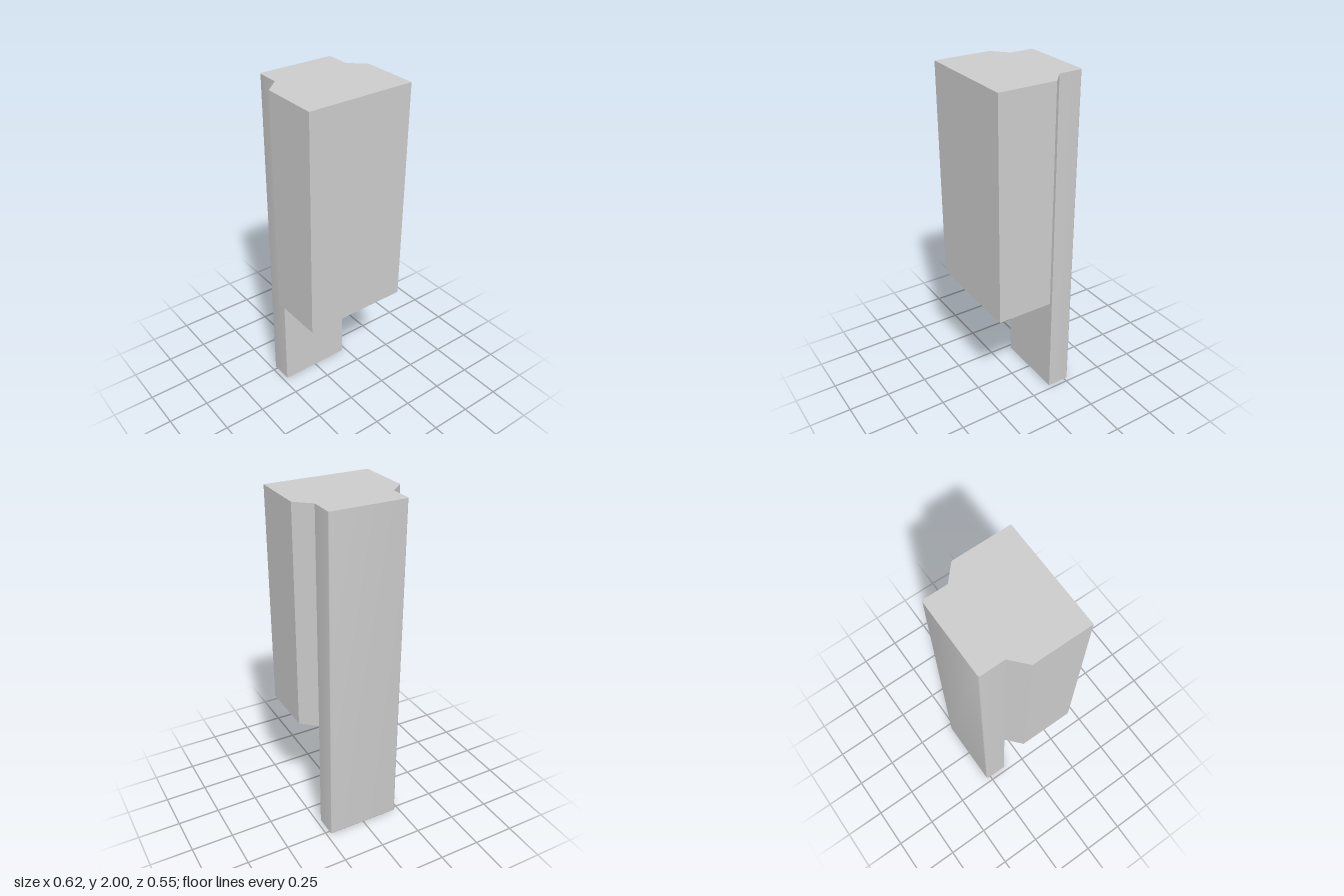
import * as THREE from 'three';
import { toCreasedNormals } from 'three/addons/utils/BufferGeometryUtils.js';

const BACK = -0.277, FRONT = 0.277, JOIN = -0.135, TOP = 2;

// Block with a tapered rear, extruded upward from its plan outline
function createBlock(material) {
  const bottom = 0.705;
  const half = [[0.311, -FRONT], [0.311, 0.056], [0.223, -JOIN]];
  const outline = [...half, ...half.map(([x, y]) => [-x, y]).reverse()];
  const shape = new THREE.Shape(outline.map(([x, y]) => new THREE.Vector2(x, y)));
  const geometry = new THREE.ExtrudeGeometry(shape, { depth: TOP - bottom, bevelEnabled: false });
  geometry.rotateX(-Math.PI / 2).translate(0, bottom, 0);
  const mesh = new THREE.Mesh(geometry, material);
  mesh.name = 'block';
  return mesh;
}

// Long back plate, its rear side and bottom edges rounded
function createBackPlate(material) {
  const r = 0.012, steps = 6, halfWidth = 0.223;
  const geometry = new THREE.BoxGeometry(2, 1, steps + 1, 1, 1, steps + 1);
  const p = geometry.attributes.position;
  for (let i = 0; i < p.count; i++) {
    const layer = Math.round(p.getZ(i) + (steps + 1) / 2); // 0 at the rear
    const a = (layer / steps) * Math.PI / 2;
    const inset = layer > steps ? 0 : r * (1 - Math.sin(a));
    const z = layer > steps ? JOIN : BACK + r * (1 - Math.cos(a));
    p.setXYZ(i, Math.sign(p.getX(i)) * (halfWidth - inset), p.getY(i) > 0 ? TOP : inset, z);
  }
  const mesh = new THREE.Mesh(toCreasedNormals(geometry, 0.5), material);
  mesh.name = 'backPlate';
  return mesh;
}

export function createModel() {
  const group = new THREE.Group();
  group.name = 'steppedBlock';
  const material = new THREE.MeshStandardMaterial({ color: 0xcccccc });
  group.add(createBlock(material), createBackPlate(material));
  return group;
}
